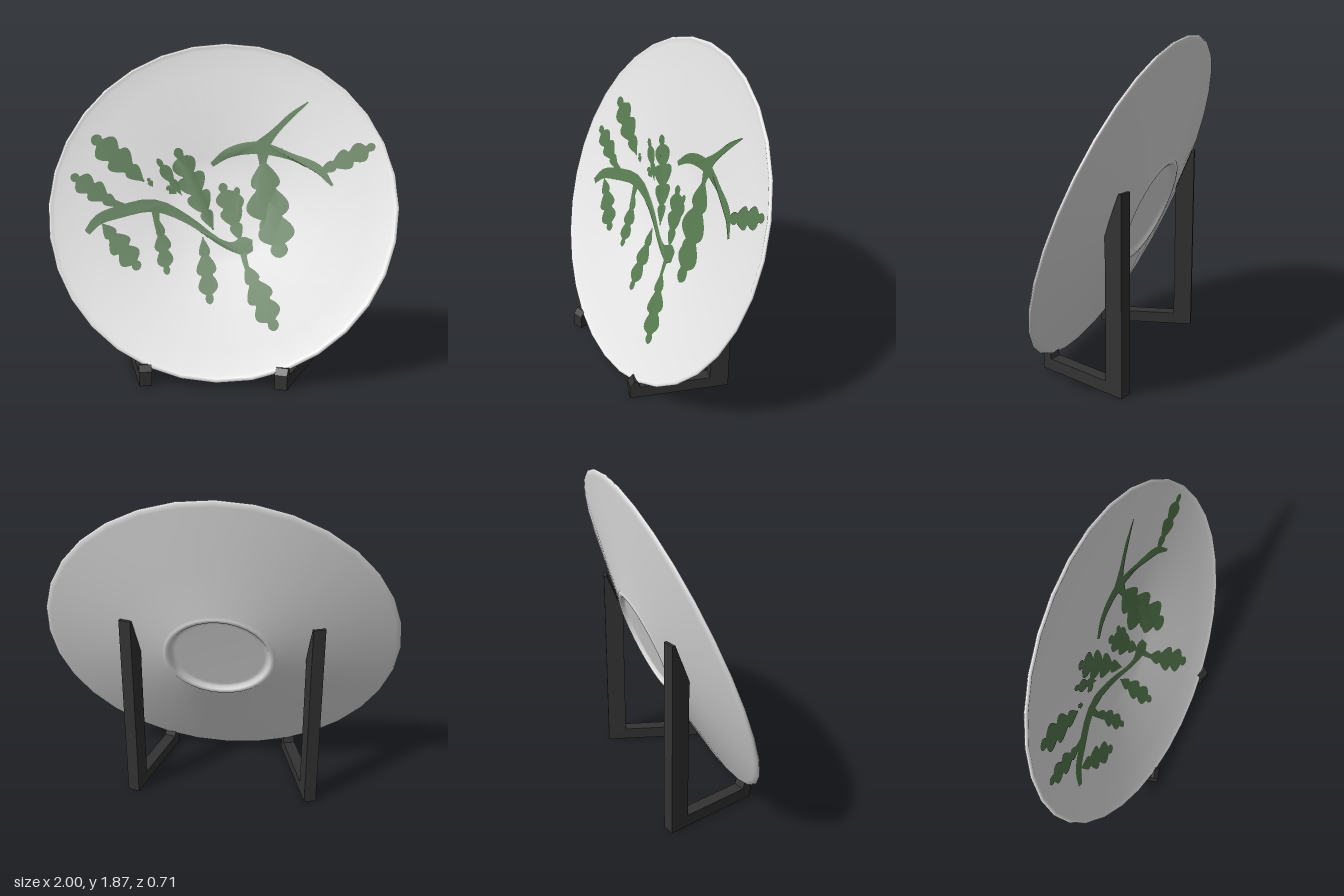
import * as THREE from 'three';
import { mergeGeometries } from 'three/addons/utils/BufferGeometryUtils.js';

const TILT = 0.3536, CENTRE_Y = 0.948, CENTRE_Z = -0.012, SQUASH = 0.985;

const mat = (name, color) => {
  const m = new THREE.MeshStandardMaterial({ color });
  m.name = name;
  return m;
};

// Depth of the concave painted face at radius r
function faceDepth(r) {
  if (r < 0.3) return -0.115 + 0.015 * (r / 0.3) ** 2;
  return -0.1 + (r - 0.3) / 0.66 * 0.097;
}

function plateGeometry() {
  const points = [
    [0, -0.125], [0.25, -0.125], [0.272, -0.128], [0.283, -0.144], [0.295, -0.149], // recessed foot
    [0.31, -0.147], [0.322, -0.138], [0.6, -0.087], [0.97, -0.016],                 // back slope
    [0.993, -0.009], [1, 0], [0.993, 0.008], [0.98, 0.008],                         // rolled rim
  ];
  for (const r of [0.96, 0.8, 0.6, 0.45, 0.33, 0.3, 0.26, 0.15, 0]) points.push([r, faceDepth(r)]);
  const g = new THREE.LatheGeometry(points.map(([r, y]) => new THREE.Vector2(r, y)), 32);
  return g.rotateX(Math.PI / 2);
}

// Lay a flat front-facing outline on the tilted concave face
function paint(outline) {
  const g = new THREE.ShapeGeometry(new THREE.Shape(outline));
  const p = g.attributes.position;
  for (let i = 0; i < p.count; i++) {
    const x = p.getX(i), y = p.getY(i);
    let v = 0, n = 0;
    for (let k = 0; k < 5; k++) {
      v = (y - CENTRE_Y - n * Math.sin(TILT)) / (Math.cos(TILT) * SQUASH);
      n = faceDepth(Math.hypot(x, v)) + 0.004;
    }
    p.setXYZ(i, x, v, n);
  }
  g.computeVertexNormals();
  return g;
}

// Tapering twig through [x, y, halfWidth] points
function twig(points) {
  const curve = new THREE.CatmullRomCurve3(points.map(p => new THREE.Vector3(...p)));
  const left = [], right = [];
  for (let i = 0; i <= 24; i++) {
    const p = curve.getPoint(i / 24), t = curve.getTangent(i / 24);
    const k = Math.max(p.z, 0.004) / Math.hypot(t.x, t.y);
    left.push(new THREE.Vector2(p.x - t.y * k, p.y + t.x * k));
    right.unshift(new THREE.Vector2(p.x + t.y * k, p.y - t.x * k));
  }
  return paint([...left, ...right]);
}

// Lobed leaf from base to tip, lobes swept towards the tip
function leaf(x0, y0, x1, y1, half, lobes = 3.5) {
  const dx = x1 - x0, dy = y1 - y0, len = Math.hypot(dx, dy);
  const left = [], right = [];
  const steps = 36;
  for (let i = 0; i <= steps; i++) {
    const t = i / steps;
    const envelope = Math.max(Math.sin(Math.PI * t ** 1.2), 0) ** 0.65;
    const lobe = Math.abs(Math.sin(Math.PI * lobes * t)) ** 0.7;
    const w = half * Math.max(envelope * (0.4 + 0.6 * lobe), 0.06);
    const s = Math.min(t + 0.05 * lobe * envelope, 1);
    const x = x0 + dx * s, y = y0 + dy * s;
    left.push(new THREE.Vector2(x - dy / len * w, y + dx / len * w));
    right.unshift(new THREE.Vector2(x + dy / len * w, y - dx / len * w));
  }
  return paint([...left, ...right]);
}

// One L-shaped easel leg: front lip, floor bar and bevelled upright
function legGeometry() {
  const L = 0.578, w = 0.07;
  const profile = [
    [0, 0], [L, 0], [L, 1.13], [L - 0.018, 1.13], [L - 0.11, 0.9],
    [L - 0.11, 0.07], [0.06, 0.07], [0.045, 0.112], [0.028, 0.112], [0, 0.078],
  ];
  const shape = new THREE.Shape(profile.map(p => new THREE.Vector2(...p)));
  const g = new THREE.ExtrudeGeometry(shape, { depth: w, bevelEnabled: false });
  return g.translate(0, 0, -w / 2);
}

export function createModel() {
  const model = new THREE.Group();
  model.name = 'plateOnStand';
  const porcelain = mat('porcelain', 0xe6e6e6);
  const green = mat('leafGreen', 0x55794e);
  const black = mat('standBlack', 0x333333);
  const add = (parent, name, geometry, material) => {
    const mesh = new THREE.Mesh(geometry, material);
    mesh.name = name;
    parent.add(mesh);
    return mesh;
  };

  // Tilted plate
  const plate = new THREE.Group();
  plate.name = 'plate';
  plate.position.set(0, CENTRE_Y, CENTRE_Z);
  plate.rotation.x = -TILT;
  plate.scale.y = SQUASH;
  model.add(plate);
  add(plate, 'dish', plateGeometry(), porcelain);

  // Painted branches
  const twigs = [
    [[-0.77, 0.79, 0.018], [-0.71, 0.86, 0.03], [-0.6, 0.9, 0.035], [-0.4, 0.935, 0.035], [-0.2, 0.855, 0.022],
      [-0.02, 0.74, 0.016], [0.06, 0.71, 0.025], [0.13, 0.715, 0.05], [0.18, 0.72, 0.03]],
    [[-0.72, 1.03, 0.01], [-0.64, 0.96, 0.018], [-0.55, 0.91, 0.03]],
    [[-0.07, 1.165, 0.014], [0.03, 1.235, 0.028], [0.2, 1.265, 0.036], [0.4, 1.215, 0.02],
      [0.55, 1.15, 0.025], [0.63, 1.06, 0.008]],
    [[0.2, 1.25, 0.05], [0.29, 1.35, 0.022], [0.39, 1.45, 0.016], [0.49, 1.53, 0.004]],
    [[0.12, 0.7, 0.02], [0.15, 0.6, 0.014], [0.19, 0.53, 0.014]],
    [[-0.39, 0.92, 0.025], [-0.37, 0.8, 0.012], [-0.34, 0.72, 0.012]],
    [[0.23, 1.25, 0.04], [0.23, 1.16, 0.02], [0.24, 1.08, 0.04]],
  ];
  add(plate, 'paintedBranches', mergeGeometries(twigs.map(twig)), green);

  // Painted leaves: base, tip, half width, lobes
  const leaves = [
    [-0.46, 1.07, -0.77, 1.33, 0.085], [-0.6, 0.93, -0.88, 1.11, 0.065],
    [-0.69, 0.84, -0.46, 0.59, 0.07], [-0.37, 0.86, -0.3, 0.56, 0.05],
    [-0.05, 0.8, -0.28, 1.26, 0.085, 4.5], [-0.24, 0.99, -0.39, 1.2, 0.035, 2.5],
    [-0.27, 1.0, -0.33, 1.04, 0.025, 1.5], [-0.41, 1.04, -0.44, 1.09, 0.018, 1.5],
    [0.11, 0.74, -0.01, 1.06, 0.07], [0.09, 0.82, 0.08, 1.04, 0.04, 2.5],
    [-0.11, 0.76, -0.05, 0.41, 0.06], [0.14, 0.62, 0.32, 0.29, 0.08],
    [0.23, 1.2, 0.28, 0.78, 0.125, 2.5], [0.27, 1.02, 0.34, 0.66, 0.105, 2.5],
    [0.55, 1.13, 0.87, 1.29, 0.06],
  ];
  add(plate, 'paintedLeaves', mergeGeometries(leaves.map(a => leaf(...a))), green);

  // Stand legs, splayed outwards to the back
  const splay = 0.28;
  for (const [name, x, side] of [['rightStandLeg', -0.385, -1], ['leftStandLeg', 0.35, 1]]) {
    const leg = add(model, name, legGeometry(), black);
    leg.position.set(x, 0, 0.34);
    leg.rotation.y = Math.PI / 2 - side * splay;
  }
  return model;
}
